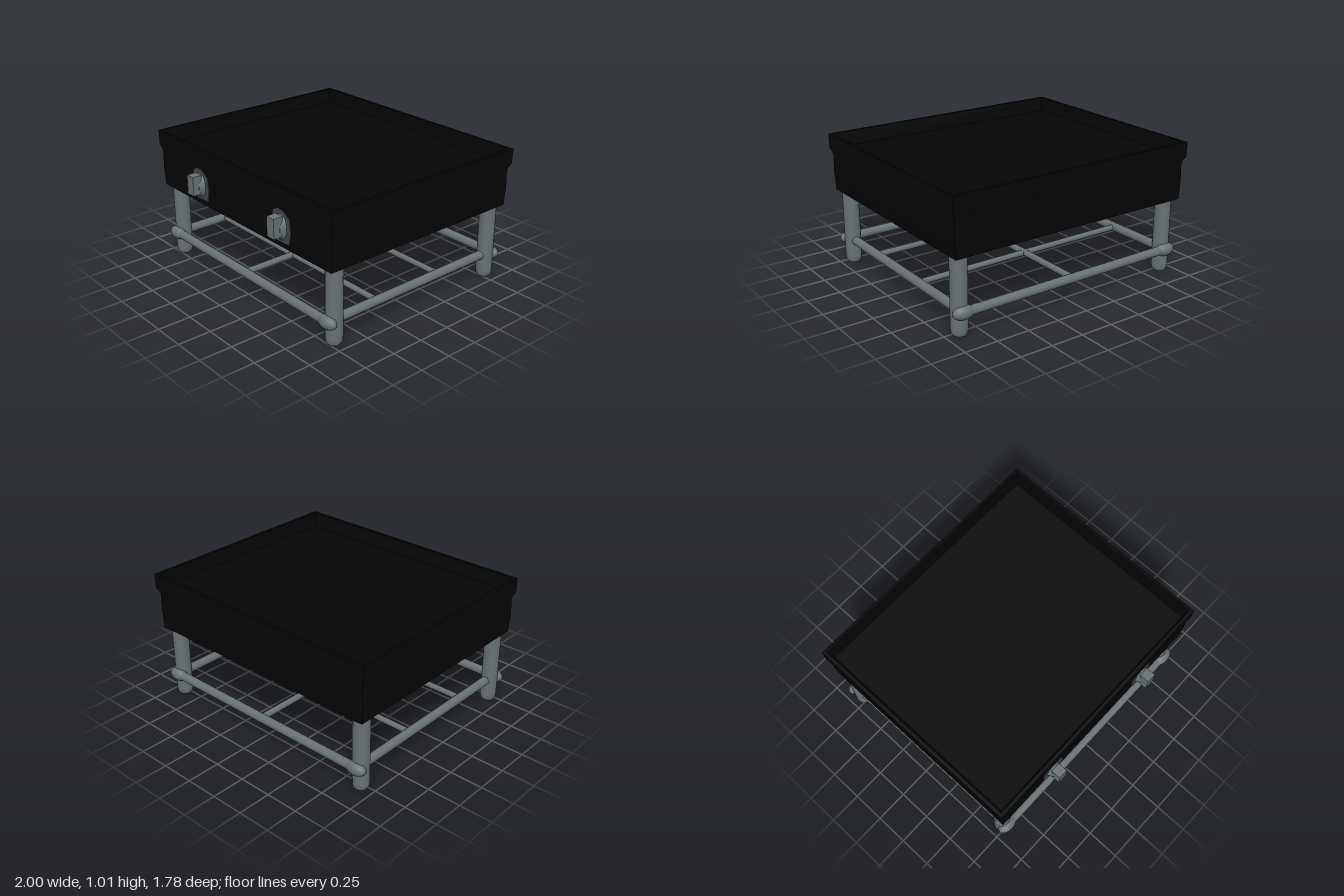
import * as THREE from 'three';

const black = new THREE.MeshStandardMaterial({ name: 'blackEnamel', color: 0x040404 });
const steel = new THREE.MeshStandardMaterial({ name: 'greySteel', color: 0x687174 });
const bezelGrey = new THREE.MeshStandardMaterial({ name: 'darkBezel', color: 0x434647 });

// Leg centres; the cross rails run just outside the legs, the side rails through them
const LEG_X = 0.9, LEG_BACK = -0.78, LEG_FRONT = 0.71;
const RAIL_X = 0.897, RAIL_Y = 0.185, RAIL_BACK = -0.83, RAIL_FRONT = 0.765;

function add(parent, name, geometry, material, x = 0, y = 0, z = 0) {
  const mesh = new THREE.Mesh(geometry, material);
  mesh.name = name;
  mesh.position.set(x, y, z);
  parent.add(mesh);
  return mesh;
}

// Stack of rectangular rings [y, halfWidth, zBack, zFront], capped at both ends
function ringStack(levels) {
  const rings = levels.map(([y, w, zb, zf]) => [[-w, y, zf], [w, y, zf], [w, y, zb], [-w, y, zb]]);
  const pos = [];
  const quad = (a, b, c, d) => pos.push(...a, ...b, ...c, ...a, ...c, ...d);
  for (let i = 0; i < rings.length - 1; i++) {
    const lo = rings[i], hi = rings[i + 1];
    for (let j = 0; j < 4; j++) {
      const k = (j + 1) % 4;
      quad(lo[j], lo[k], hi[k], hi[j]);
    }
  }
  const b = rings[0], t = rings[rings.length - 1];
  quad(b[0], b[3], b[2], b[1]);
  quad(t[0], t[1], t[2], t[3]);
  const g = new THREE.BufferGeometry();
  g.setAttribute('position', new THREE.Float32BufferAttribute(pos, 3));
  g.computeVertexNormals();
  return g;
}

// Round bar between two points
function bar(parent, name, from, to, radius) {
  const a = new THREE.Vector3(...from), b = new THREE.Vector3(...to);
  const dir = b.clone().sub(a);
  const mesh = add(parent, name, new THREE.CylinderGeometry(radius, radius, dir.length(), 12), steel);
  mesh.position.copy(a).add(b).multiplyScalar(0.5);
  mesh.quaternion.setFromUnitVectors(new THREE.Vector3(0, 1, 0), dir.normalize());
}

function makeKnob(x) {
  const knob = new THREE.Group();
  knob.name = 'controlKnob';
  knob.position.set(x, 0.735, 0.797);
  // Uneven thin bezel behind the grip
  const outline = [[-0.1, 0.03], [-0.085, -0.09], [-0.05, -0.12], [0.08, -0.115],
    [0.1, -0.03], [0.09, 0.07], [0.03, 0.11], [-0.03, 0.12], [-0.08, 0.095]];
  const shape = new THREE.Shape(outline.map(([u, v]) => new THREE.Vector2(u, v)));
  add(knob, 'bezel', new THREE.ExtrudeGeometry(shape, { depth: 0.008, bevelEnabled: false }), bezelGrey);
  // Tapered oval collar and upright grip
  const collar = new THREE.CylinderGeometry(0.04, 0.064, 0.045, 16).rotateX(Math.PI / 2);
  add(knob, 'collar', collar, steel, 0, -0.005, 0.025).scale.y = 1.55;
  add(knob, 'grip', new THREE.BoxGeometry(0.074, 0.145, 0.075), steel, 0, 0.012, 0.059);
  return knob;
}

export function createModel() {
  const model = new THREE.Group();
  model.name = 'tabletopGriddle';

  // Housing with flared lip and deep cooking recess
  add(model, 'housing', ringStack([
    [0.577, 0.972, -0.865, 0.796],
    [0.72, 0.98, -0.867, 0.8],
    [0.85, 0.976, -0.867, 0.801],
    [0.875, 0.984, -0.872, 0.805],
    [0.9, 0.998, -0.888, 0.813],
    [1.013, 1, -0.89, 0.813],
    [1.013, 0.975, -0.865, 0.788],
    [0.91, 0.95, -0.84, 0.763],
  ]), black);

  // Legs with rounded feet
  const legProfile = [[0, 0.005], [0.045, 0.008], [0.057, 0.025], [0.061, 0.06], [0.061, 0.59]]
    .map(([r, y]) => new THREE.Vector2(r, y));
  const legGeometry = new THREE.LatheGeometry(legProfile, 16);
  for (const x of [-LEG_X, LEG_X]) {
    for (const z of [LEG_BACK, LEG_FRONT]) add(model, 'leg', legGeometry, steel, x, 0, z);
    bar(model, 'sideRail', [x, RAIL_Y, RAIL_BACK], [x, RAIL_Y, RAIL_FRONT], 0.034);
  }

  // Front and back rails with rounded joints at the legs
  const jointGeometry = new THREE.SphereGeometry(1, 16, 10);
  for (const z of [RAIL_BACK, RAIL_FRONT]) {
    bar(model, 'crossRail', [-RAIL_X, RAIL_Y, z], [RAIL_X, RAIL_Y, z], 0.034);
    for (const x of [-RAIL_X, RAIL_X]) {
      add(model, 'railJoint', jointGeometry, steel, x, RAIL_Y, z).scale.set(0.082, 0.05, 0.048);
    }
  }

  // Thinner inner rack
  for (const z of [-0.27, 0.325]) bar(model, 'rackBar', [-RAIL_X, RAIL_Y, z], [RAIL_X, RAIL_Y, z], 0.022);
  bar(model, 'rackSpine', [-0.01, RAIL_Y, RAIL_BACK], [-0.01, RAIL_Y, RAIL_FRONT], 0.024);

  model.add(makeKnob(-0.466), makeKnob(0.477));
  return model;
}
